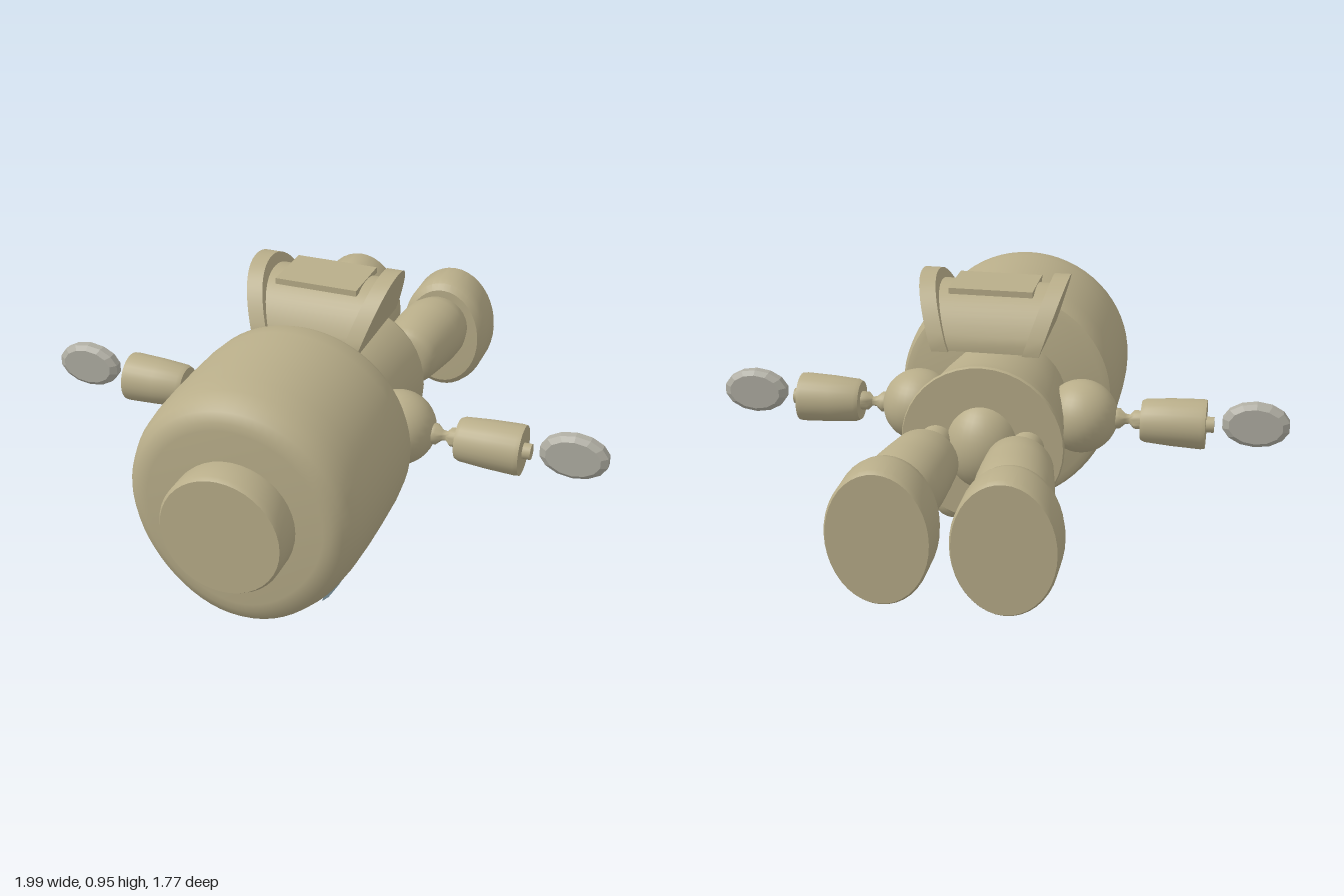
import * as THREE from 'three';
import { toCreasedNormals } from 'three/addons/utils/BufferGeometryUtils.js';

const tan = new THREE.MeshStandardMaterial({ color: 0xb8ad89 });
tan.name = 'tan';
const grey = new THREE.MeshStandardMaterial({ color: 0xb0aea3, side: THREE.DoubleSide });
grey.name = 'pale grey';
const blue = new THREE.MeshStandardMaterial({ color: 0x62757d, side: THREE.DoubleSide });
blue.name = 'slate blue';

const HEAD_Y = 0.445;

// Applies a rule to every vertex of a geometry
function reshape(geometry, rule) {
  const pos = geometry.attributes.position;
  const v = new THREE.Vector3();
  for (let i = 0; i < pos.count; i++) {
    rule(v.fromBufferAttribute(pos, i));
    pos.setXYZ(i, v.x, v.y, v.z);
  }
  geometry.computeVertexNormals();
  return geometry;
}

// Solid of revolution along z from [radius, z] pairs with rising z
function spin(profile, segments = 40) {
  const points = profile.map(([r, z]) => new THREE.Vector2(r, z));
  return new THREE.LatheGeometry(points, segments).rotateX(Math.PI / 2);
}

const soft = (geometry, angle = 0.6) => toCreasedNormals(geometry, angle);

// The face side of the head swells into a blunt ridge
function swell(v) {
  const r = Math.hypot(v.x, v.y);
  if (r > 0) v.y -= 0.125 * r * Math.max(0, -v.y / r) ** 3;
}

// Thin oval plate wrapped onto the head, placed by angle from straight down
function facePlate(angle, halfAngle, z, halfZ, radius) {
  const plate = new THREE.RingGeometry(0, 1, 10, 5);
  return reshape(plate, (v) => {
    const a = angle + v.x * halfAngle;
    v.set(Math.sin(a) * radius, -Math.cos(a) * radius, z + v.y * halfZ);
    swell(v);
  });
}

export function createModel() {
  const model = new THREE.Group();
  model.name = 'lyingFigure';

  const add = (name, geometry, material, x = 0, y = 0, z = 0, parent = model) => {
    const mesh = new THREE.Mesh(geometry, material);
    mesh.name = name;
    mesh.position.set(x, y, z);
    parent.add(mesh);
    return mesh;
  };

  // Head and the stud on its crown
  const head = spin([
    [0, 0.2], [0.345, 0.2], [0.37, 0.21], [0.382, 0.235], [0.388, 0.3], [0.39, 0.4], [0.39, 0.52],
    [0.387, 0.62], [0.38, 0.69], [0.365, 0.735], [0.345, 0.762], [0.315, 0.777], [0.29, 0.78], [0, 0.78],
  ], 64);
  add('head', soft(reshape(head, swell)), tan, 0, HEAD_Y, 0);
  add('crownStud', soft(spin([[0, 0.77], [0.2, 0.77], [0.204, 0.79], [0.204, 0.87], [0.195, 0.885], [0, 0.885]])),
    tan, 0, 0.43, 0);

  // Face details
  for (const side of [1, -1]) {
    const name = side > 0 ? 'left' : 'right';
    add(name + 'Eye', facePlate(side * 0.7, 0.11, 0.54, 0.13, 0.394), blue, 0, HEAD_Y, 0);
    add(name + 'EyeSpot', facePlate(side * 0.44, 0.07, 0.43, 0.06, 0.394), blue, 0, HEAD_Y, 0);
  }
  add('mouth', facePlate(0, 0.18, 0.31, 0.075, 0.394), grey, 0, HEAD_Y, 0);

  // Torso with a domed seat
  add('torso', soft(spin([
    [0, -0.25], [0.27, -0.25], [0.274, -0.24], [0.25, -0.14], [0.24, 0], [0.222, 0.15], [0.215, 0.21], [0, 0.21],
  ])), tan, 0, 0.43, 0);
  const seat = new THREE.SphereGeometry(1, 28, 20).scale(0.13, 0.155, 0.13);
  add('seat', seat, tan, 0, 0.42, -0.205);

  // Limbs, mirrored left and right
  for (const side of [1, -1]) {
    const name = side > 0 ? 'left' : 'right';

    // Chest ball
    add(name + 'ChestBall', new THREE.SphereGeometry(0.082, 24, 16), tan, side * 0.12, 0.183, -0.115);

    // Arm, spun along z and then turned to point sideways
    const arm = new THREE.Group();
    arm.name = name + 'Arm';
    arm.position.set(0, 0.43, 0.07);
    arm.rotation.y = side * Math.PI / 2;
    model.add(arm);
    add('shoulder', new THREE.SphereGeometry(0.127, 28, 20), tan, 0, 0, 0.287, arm);
    add('elbow', soft(spin([
      [0, 0.39], [0.035, 0.4], [0.036, 0.42], [0.018, 0.44], [0.016, 0.455], [0.032, 0.47], [0.033, 0.51], [0, 0.51],
    ], 20), 1), tan, 0, 0, 0, arm);
    add('forearm', soft(spin([
      [0, 0.495], [0.068, 0.495], [0.075, 0.51], [0.082, 0.6], [0.086, 0.7], [0.084, 0.715], [0, 0.715],
    ], 28)), tan, 0, 0, 0, arm);
    add('wrist', soft(spin([[0, 0.71], [0.027, 0.71], [0.027, 0.742], [0, 0.742]], 16)), tan, 0, 0, 0, arm);

    // Flat faceted hand
    const hand = spin([[0, -0.028], [0.8, -0.028], [1, -0.014], [1, 0.014], [0.8, 0.028], [0, 0.028]], 14);
    hand.scale(0.115, 0.078, 1);
    add(name + 'Hand', soft(hand, 0.2), grey, side * 0.882, 0.445, 0.065);

    // Leg: hip rod, thick shin and oval foot
    add(name + 'Hip', soft(spin([[0, -0.42], [0.056, -0.42], [0.056, -0.2], [0, -0.2]], 24)),
      tan, side * 0.152, 0.435, 0);
    const shin = spin([
      [0, -0.73], [0.1, -0.73], [0.113, -0.71], [0.126, -0.66], [0.127, -0.59], [0.12, -0.5],
      [0.112, -0.42], [0.1, -0.395], [0.075, -0.38], [0, -0.38],
    ], 32);
    reshape(shin, (v) => { v.x += side * (0.15 - 0.09 * (v.z + 0.38)); });
    add(name + 'Shin', soft(shin), tan, 0, 0.435, 0);
    const foot = spin([
      [0, -0.885], [0.96, -0.885], [1, -0.872], [1, -0.77], [0.96, -0.74], [0.86, -0.722], [0, -0.715],
    ], 40);
    reshape(foot, (v) => { v.x *= 0.165; v.y *= 0.22; });
    add(name + 'Foot', soft(foot), tan, side * 0.19, 0.38, 0);
  }

  // Backpack: domed block between two flaring cheeks
  const dome = (halfLength, height, width) => {
    const shape = new THREE.Shape();
    shape.moveTo(-halfLength, 0);
    shape.lineTo(halfLength, 0);
    shape.lineTo(halfLength, 0.03);
    shape.bezierCurveTo(halfLength * 0.8, height * 0.72, halfLength * 0.45, height, 0, height);
    shape.bezierCurveTo(-halfLength * 0.45, height, -halfLength * 0.8, height * 0.72, -halfLength, 0.03);
    shape.closePath();
    return new THREE.ExtrudeGeometry(shape, { depth: width, bevelEnabled: false, curveSegments: 12 })
      .translate(0, 0, -width / 2).rotateY(Math.PI / 2);
  };
  const pack = new THREE.Group();
  pack.name = 'backpack';
  pack.position.set(0, 0.73, 0);
  model.add(pack);
  const flare = (y) => 0.15 + 0.32 * y;
  const block = reshape(dome(0.185, 0.185, 2), (v) => { v.x *= flare(v.y); });
  add('packBlock', soft(block), tan, 0, 0, 0, pack);
  add('packPanel', new THREE.BoxGeometry(0.28, 0.02, 0.2), tan, 0, 0.178, 0, pack);
  for (const side of [1, -1]) {
    const cheek = reshape(dome(0.2, 0.22, 0.055), (v) => { v.x += side * flare(v.y); });
    add(side > 0 ? 'leftCheek' : 'rightCheek', soft(cheek), tan, 0, 0, 0, pack);
  }

  return model;
}
